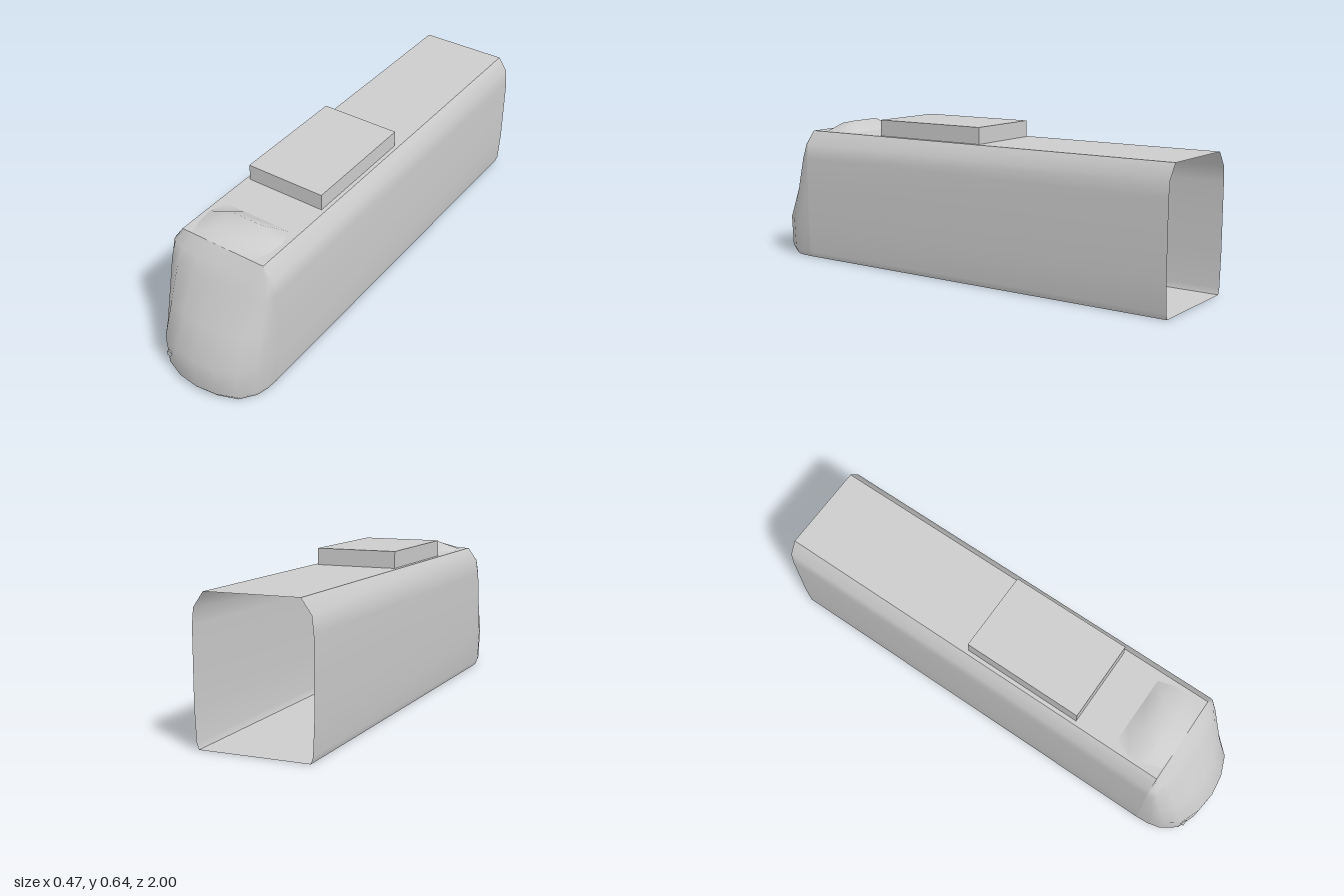
import * as THREE from 'three';

const grey = new THREE.MeshStandardMaterial({ color: 0xcccccc, side: THREE.DoubleSide });
grey.name = 'light grey';

// Half cross-section, floor to roof: half width, height, front z of the nose
const section = [
  [0.222, 0, 0.98], [0.231, 0.025, 0.998], [0.2375, 0.16, 1.0], [0.2375, 0.3, 0.934],
  [0.2375, 0.45, 0.865], [0.231, 0.515, 0.828], [0.19, 0.573, 0.785],
];
const BACK = -1, SEAM = 0.785, ROOF = 0.573;

// Plan curve of the nose: share of half width, share of nose length
const half = [[1, 0], [0.985, 0.25], [0.93, 0.5], [0.73, 0.8], [0.38, 0.95]];
const plan = [...half.map(([x, z]) => [-x, z]), [0, 1], ...half.slice().reverse()];

// Smooth surface through rows of points; columns run right, rows run up
function surface(rows) {
  const n = rows[0].length, index = [];
  for (let r = 0; r < rows.length - 1; r++) {
    for (let c = 0; c < n - 1; c++) {
      const a = r * n + c, b = a + 1, d = a + n, e = d + 1;
      index.push(a, b, e, a, e, d);
    }
  }
  const geo = new THREE.BufferGeometry();
  geo.setAttribute('position', new THREE.Float32BufferAttribute(rows.flat(2), 3));
  geo.setIndex(index);
  geo.computeVertexNormals();
  return geo;
}

export function createModel() {
  const model = new THREE.Group();
  model.name = 'railCar';
  const add = (name, geo) => {
    const mesh = new THREE.Mesh(geo, grey);
    mesh.name = name;
    model.add(mesh);
    return mesh;
  };

  // Side walls, open at the back
  add('leftWall', surface(section.map(([w, y]) => [[w, y, SEAM], [w, y, BACK]])));
  add('rightWall', surface(section.map(([w, y]) => [[-w, y, BACK], [-w, y, SEAM]])));

  // Flat roof
  add('roof', surface([SEAM, BACK].map((z) => [[-0.19, ROOF, z], [0.19, ROOF, z]])));

  // Rounded sloping nose
  const nosePoint = ([w, y, front]) => plan.map(([u, v]) => [w * u, y, SEAM + (front - SEAM) * v]);
  add('nose', surface(section.map(nosePoint)));

  // Floor follows the nose outline
  const outline = nosePoint(section[0]).map(([x, , z]) => new THREE.Vector2(x, z));
  outline.push(new THREE.Vector2(0.222, BACK), new THREE.Vector2(-0.222, BACK));
  add('floor', new THREE.ShapeGeometry(new THREE.Shape(outline)).rotateX(Math.PI / 2));

  // Low fairing above the nose: z, half width, height
  const fairing = [[0.785, 0.14, 0], [0.72, 0.165, 0.028], [0.645, 0.173, 0.043], [0.575, 0.15, 0]];
  add('roofFairing', surface(fairing.map(([z, w, h]) =>
    [[-1, 0], [-0.43, 1], [0.43, 1], [1, 0]].map(([u, k]) => [w * u, ROOF + h * k + 0.0005, z]))));

  // Roof equipment box
  add('roofUnit', new THREE.BoxGeometry(0.346, 0.069, 0.52)).position.set(0, ROOF + 0.0345, 0.14);

  // Small five-sided lamp low on the nose
  add('lamp', new THREE.CylinderGeometry(0.014, 0.014, 0.03, 5)
    .rotateX(Math.PI / 2).rotateZ(Math.PI / 2)).position.set(-0.152, 0.088, 0.955);

  return model;
}
